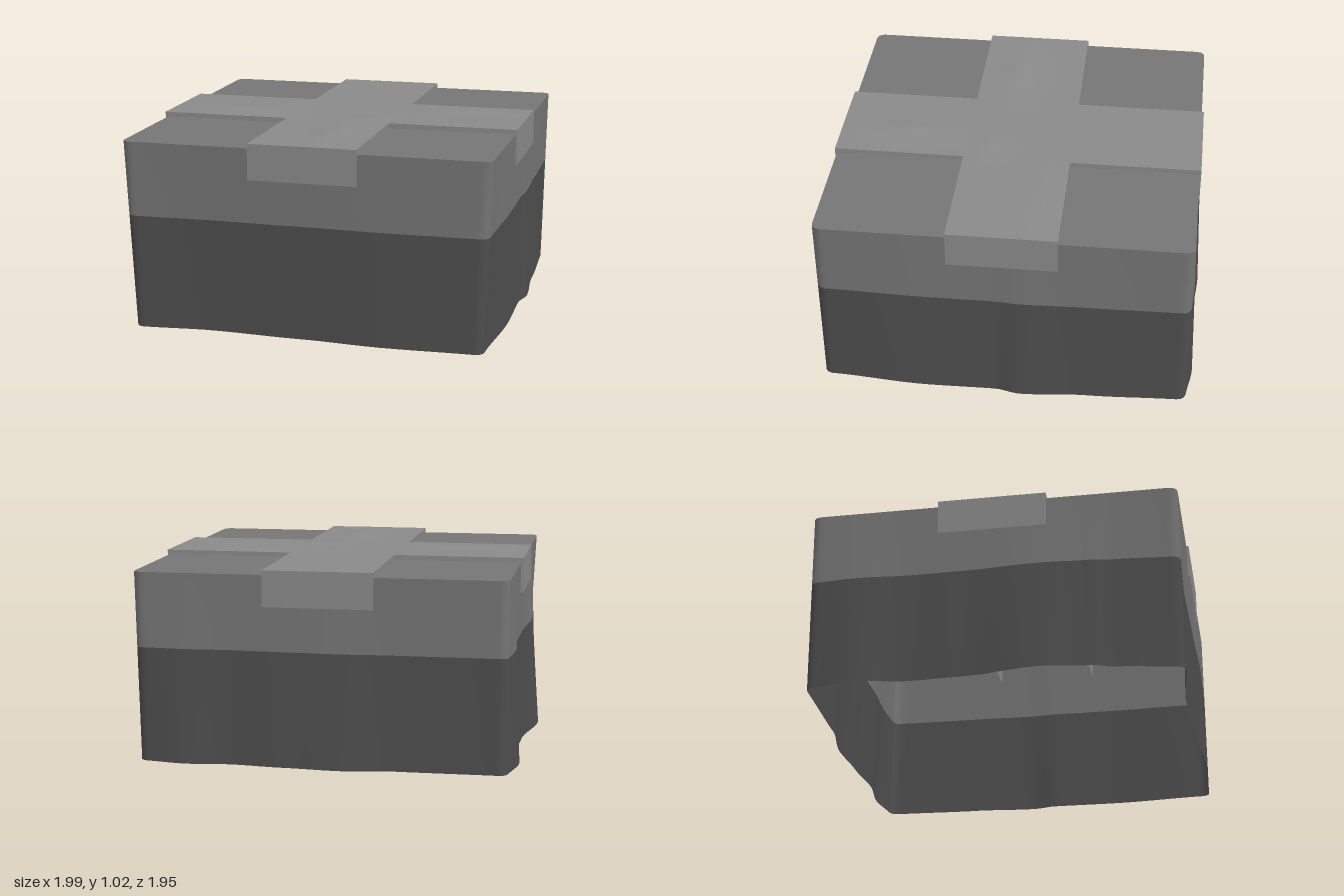
import * as THREE from 'three';
import { mergeGeometries } from 'three/addons/utils/BufferGeometryUtils.js';

const BOX = { x0: -0.93, x1: 0.97, z0: -0.94, z1: 0.96, r: 0.04, seam: 0.59, top: 0.975 };
const STRAP = { x0: -0.945, x1: 0.98, z0: -0.95, z1: 0.97, ax0: -0.26, ax1: 0.30, az0: -0.27, az1: 0.29 };

// Outward drift of each wall at its bottom edge: [position along wall, offset]
const drift = {
  left: [[-0.94, 0], [-0.68, 0.04], [-0.4, 0], [-0.15, 0.01], [0.27, 0.07], [0.5, 0.04], [0.63, 0], [0.96, -0.05]],
  right: [[-0.94, -0.02], [-0.43, 0], [-0.08, 0.025], [0.05, 0], [0.4, 0.005], [0.96, -0.03]],
  back: [[-0.93, -0.01], [-0.37, 0], [-0.08, 0.04], [0.2, 0.025], [0.48, 0.005], [0.72, 0.03], [0.97, 0]],
  front: [[-0.93, 0], [-0.5, -0.03], [0, -0.01], [0.45, 0.015], [0.97, 0]],
};

// Smooth interpolation through a drift list
function sample(list, t) {
  if (t <= list[0][0]) return list[0][1];
  for (let i = 1; i < list.length; i++) {
    const [a, va] = list[i - 1], [b, vb] = list[i];
    if (t <= b) return va + (vb - va) * THREE.MathUtils.smoothstep(t, a, b);
  }
  return list[list.length - 1][1];
}

// Moves a wall point outward, more the lower it is
function warp(x, y, z) {
  const f = 1 - y / BOX.top;
  const u = (2 * x - BOX.x0 - BOX.x1) / (BOX.x1 - BOX.x0);
  const w = (2 * z - BOX.z0 - BOX.z1) / (BOX.z1 - BOX.z0);
  return [
    x + f * u * sample(u > 0 ? drift.right : drift.left, z),
    y,
    z + f * w * sample(w > 0 ? drift.front : drift.back, x),
  ];
}

// Closed wall through a loop of plan points at several heights
function wall(loop, heights, place = (x, y, z) => [x, y, z]) {
  const pos = [], index = [], n = loop.length;
  for (const y of heights) for (const p of loop) pos.push(...place(p.x, y, -p.y));
  for (let r = 0; r < heights.length - 1; r++) {
    for (let i = 0; i < n; i++) {
      const a = r * n + i, b = r * n + (i + 1) % n;
      index.push(a, b, b + n, a, b + n, a + n);
    }
  }
  const g = new THREE.BufferGeometry();
  g.setAttribute('position', new THREE.Float32BufferAttribute(pos, 3));
  g.setIndex(index);
  g.computeVertexNormals();
  return g;
}

// Rounded plan of the box; shape y is -z
function plan() {
  const { x0, x1, r } = BOX, y0 = -BOX.z1, y1 = -BOX.z0;
  const s = new THREE.Shape();
  s.moveTo(x0 + r, y0).lineTo(x1 - r, y0);
  s.absarc(x1 - r, y0 + r, r, -Math.PI / 2, 0);
  s.absarc(x1 - r, y1 - r, r, 0, Math.PI / 2);
  s.absarc(x0 + r, y1 - r, r, Math.PI / 2, Math.PI);
  s.absarc(x0 + r, y0 + r, r, Math.PI, Math.PI * 1.5);
  return s;
}

// Gentle creases on the strap's upper face
function strapHeight(x, z) {
  const bump = (cx, cz, sx, sz, h) => h * Math.exp(-(((x - cx) / sx) ** 2) - ((z - cz) / sz) ** 2);
  return 1 + bump(-0.56, 0.1, 0.2, 0.07, 0.016) + bump(0.08, 0.6, 0.07, 0.2, 0.016)
    + bump(0.18, 0.17, 0.08, 0.06, 0.012) + bump(0.6, -0.12, 0.2, 0.06, 0.008);
}

function strapPatch(x0, x1, z0, z1) {
  const g = new THREE.PlaneGeometry(x1 - x0, z1 - z0, Math.round((x1 - x0) * 20), Math.round((z1 - z0) * 20));
  g.rotateX(-Math.PI / 2).translate((x0 + x1) / 2, 0, (z0 + z1) / 2);
  const p = g.attributes.position;
  for (let i = 0; i < p.count; i++) p.setY(i, strapHeight(p.getX(i), p.getZ(i)));
  g.computeVertexNormals();
  return g;
}

export function createModel() {
  const group = new THREE.Group();
  const material = (color, flatShading = false) =>
    new THREE.MeshStandardMaterial({ color, flatShading, side: THREE.DoubleSide });
  const add = (name, geometry, mat) => {
    const mesh = new THREE.Mesh(geometry, mat);
    mesh.name = name;
    group.add(mesh);
  };
  const dark = material(0x4e4e4e), mid = material(0x757575);
  const light = material(0x8a8a8a), lightFlat = material(0x8a8a8a, true);

  // Open-bottomed box in two bands, with its lid
  const shape = plan();
  const loop = shape.getSpacedPoints(320).slice(0, -1);
  add('lowerWall', wall(loop, [0, 0.3, BOX.seam], warp), dark);
  add('upperWall', wall(loop, [BOX.seam, 0.8, BOX.top], warp), mid);
  const lid = new THREE.ShapeGeometry(new THREE.Shape(loop));
  add('lid', lid.rotateX(-Math.PI / 2).translate(0, BOX.top, 0), mid);

  // Crossed strap over the lid, with ends folded down the walls
  const { x0, x1, z0, z1, ax0, ax1, az0, az1 } = STRAP;
  const cross = [
    [ax0, z1], [ax1, z1], [ax1, az1], [x1, az1], [x1, az0], [ax1, az0],
    [ax1, z0], [ax0, z0], [ax0, az0], [x0, az0], [x0, az1], [ax0, az1],
  ].map(([x, z]) => new THREE.Vector2(x, -z));
  add('strapSides', wall(cross, [0.815, 1]), lightFlat);
  add('strapTop', mergeGeometries([
    strapPatch(x0, x1, az0, az1),
    strapPatch(ax0, ax1, az1, z1),
    strapPatch(ax0, ax1, z0, az0),
  ]), light);
  return group;
}
